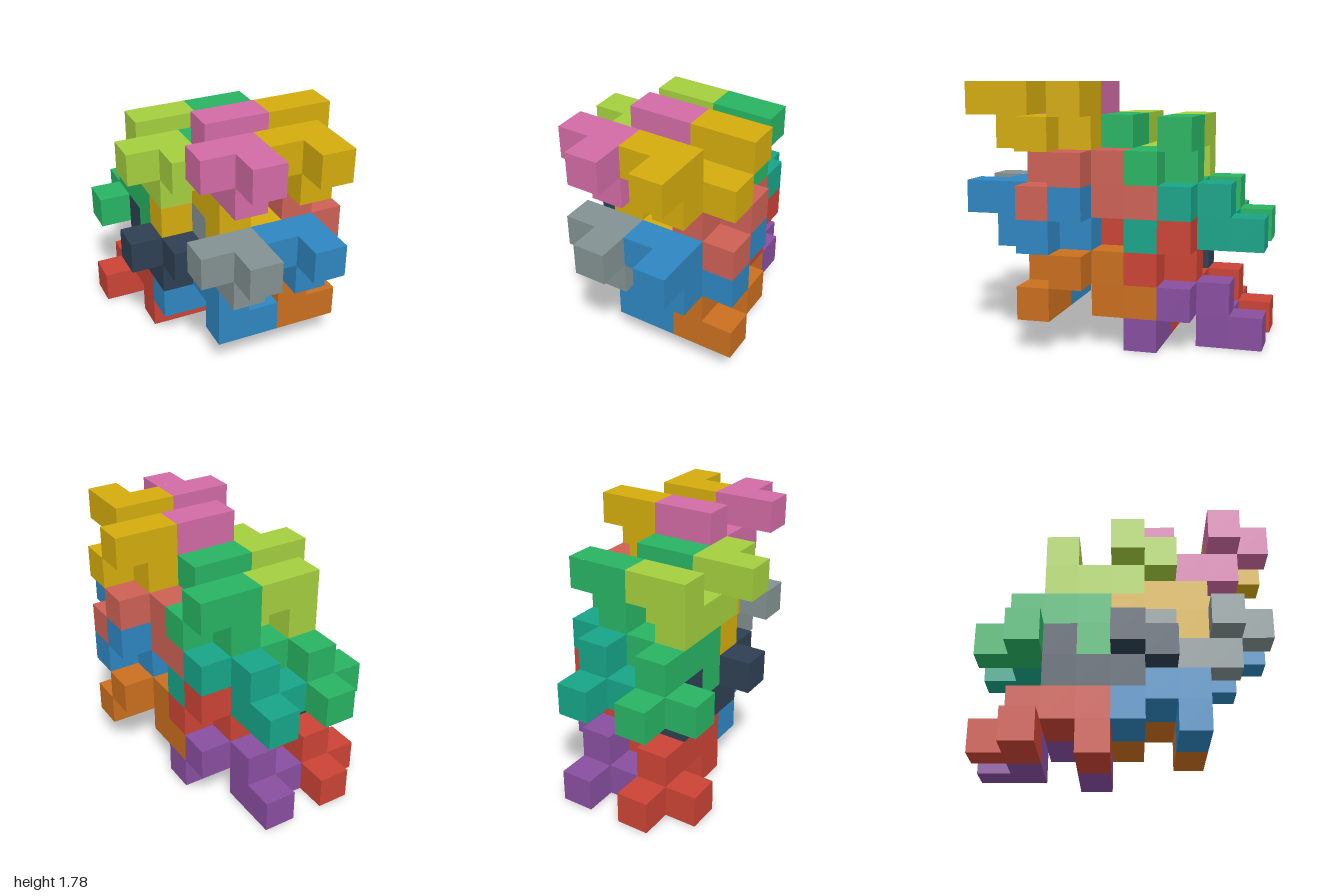
import * as THREE from 'three';
import { mergeGeometries } from 'three/addons/utils/BufferGeometryUtils.js';

const U = 2 / 9; // edge of one cube

// One nine-cube piece; every other piece is a shifted or turned copy
const PIECE = [
  [4, 7, 8], [4, 7, 7], [3, 7, 7],
  [4, 6, 7], [4, 6, 6], [5, 6, 6],
  [4, 6, 5], [4, 7, 5], [5, 7, 5],
];
// The same piece turned half a turn about the x axis
const TURNED = PIECE.map(([x, y, z]) => [x, 11 - y, 11 - z]);

const DIRECTIONS = [
  [1, 0, 0], [-1, 0, 0], [0, 1, 0], [0, -1, 0], [0, 0, 1], [0, 0, -1],
];

// Outer skin of a piece: one square for each cube side without a neighbour
function pieceGeometry(cells) {
  const filled = new Set(cells.map(String));
  const squares = [];
  for (const [x, y, z] of cells) {
    for (const [dx, dy, dz] of DIRECTIONS) {
      if (filled.has(String([x + dx, y + dy, z + dz]))) continue;
      const square = new THREE.PlaneGeometry(U, U);
      square.translate(0, 0, U / 2);
      square.lookAt(new THREE.Vector3(dx, dy, dz));
      square.translate((x - 2.5) * U, (y + 0.5) * U, (z - 4) * U);
      squares.push(square);
    }
  }
  return mergeGeometries(squares);
}

// Colours per layer, [right piece, left piece], for the upper and lower tier
const LAYERS = [
  { name: 'frontUpright', cells: PIECE, shift: [0, 0, 0],
    colors: [[0xd4ac0d, 0xd16ba5], [0x2e86c1, 0x839192]] },
  { name: 'frontTurned', cells: TURNED, shift: [0, 0, 0],
    colors: [[0xcd6155, 0xd4ac0d], [0xca6f1e, 0x2e86c1]] },
  { name: 'backUpright', cells: PIECE, shift: [-1, -1, -3],
    colors: [[0x28b463, 0xa4cf3e], [0xcb4335, 0x2e4053]] },
  { name: 'backTurned', cells: TURNED, shift: [-1, -1, -3],
    colors: [[0x17a589, 0x28b463], [0x884ea0, 0xcb4335]] },
];

export function createModel() {
  const model = new THREE.Group();
  model.name = 'interlockingCubePieces';
  for (const { name, cells, shift, colors } of LAYERS) {
    const geometry = pieceGeometry(cells);
    colors.forEach((pair, tier) => pair.forEach((color, column) => {
      const mesh = new THREE.Mesh(geometry, new THREE.MeshStandardMaterial({ color }));
      mesh.name = `${name}${tier ? 'Lower' : 'Upper'}${column ? 'Right' : 'Left'}Piece`;
      // Tiers repeat every three cubes down, columns every two cubes across
      mesh.position.set(shift[0] - 2 * column, shift[1] - 3 * tier, shift[2]).multiplyScalar(U);
      model.add(mesh);
    }));
  }
  return model;
}
